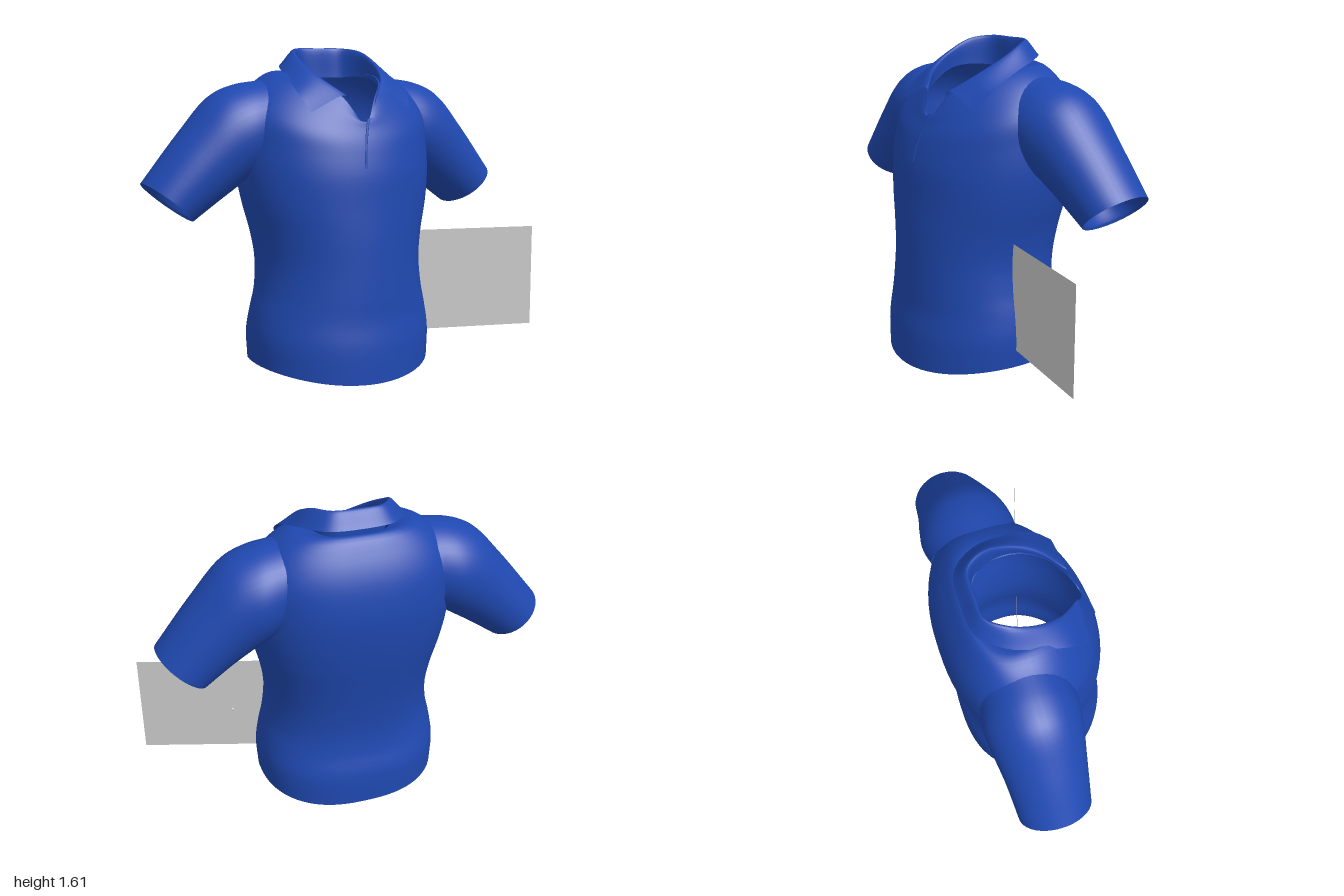
import * as THREE from 'three';

const V = (x, y, z) => new THREE.Vector3(x, y, z);
const CX = -0.025; // the shirt sits slightly off the middle

// Skin a list of cross-sections (arrays of points), smoothed between them.
function loft(sections, steps, closed) {
  const cols = sections[0].length;
  const curves = sections[0].map((_, c) => new THREE.CatmullRomCurve3(sections.map(s => s[c])));
  const pos = [], idx = [];
  for (let r = 0; r <= steps; r++) {
    for (const curve of curves) pos.push(...curve.getPoint(r / steps).toArray());
  }
  const span = closed ? cols : cols - 1;
  for (let r = 0; r < steps; r++) {
    for (let c = 0; c < span; c++) {
      const a = r * cols + c, b = r * cols + (c + 1) % cols;
      idx.push(a, a + cols, b, b, a + cols, b + cols);
    }
  }
  const g = new THREE.BufferGeometry();
  g.setAttribute('position', new THREE.Float32BufferAttribute(pos, 3));
  g.setIndex(idx);
  g.computeVertexNormals();
  return g;
}

// Torso section: heights at side/front/back, half width, front and back z, side z, neck slit depth.
function torsoRing([ys, yf, yb, hw, zf, zb, zc, dip = 0]) {
  return Array.from({ length: 72 }, (_, i) => {
    const a = -i / 72 * Math.PI * 2, c = Math.cos(a), s = Math.sin(a);
    const p = s < 0 ? 2 / 2.5 : 1; // squarer back
    const x = hw * Math.sign(c) * Math.abs(c) ** p;
    const slit = s > 0 ? dip * s ** 20 : 0;
    const y = ys + ((s > 0 ? yf : yb) - ys) * s * s - slit;
    const z = zc + (s > 0 ? (zf - zc) * s : (zb - zc) * Math.abs(s) ** p) + slit * 0.35;
    return V(CX + x, y, z);
  });
}

// Sleeve section: top and bottom points, centre z and half depth.
function sleeveRing([tx, ty, bx, by, zc, hz], side) {
  return Array.from({ length: 40 }, (_, i) => {
    const a = side * i / 40 * Math.PI * 2, k = (1 + Math.cos(a)) / 2;
    return V(CX + side * (bx + (tx - bx) * k), by + (ty - by) * k, zc + hz * Math.sin(a));
  });
}

// Mirror a half path (from back centre to front) into a full path around the neck.
function neckPath(half) {
  const pts = half.map(p => V(...p));
  const all = [...pts.slice(1).reverse().map(p => V(-p.x, p.y, p.z)), ...pts];
  return new THREE.CatmullRomCurve3(all).getPoints(60).map(p => p.add(V(CX + 0.01, 0, 0)));
}

export function createModel() {
  const model = new THREE.Group();
  const cloth = new THREE.MeshStandardMaterial({ color: 0x1f48b0, side: THREE.DoubleSide });
  const grey = new THREE.MeshStandardMaterial({ color: 0xcccccc, side: THREE.DoubleSide });
  const add = (name, geometry, material = cloth) => {
    const mesh = new THREE.Mesh(geometry, material);
    mesh.name = name;
    model.add(mesh);
    return mesh;
  };

  // Torso from hem to neckline
  add('torso', loft([
    [0.06, 0.0, 0.015, 0.465, 0.425, -0.365, 0.03],
    [0.2, 0.17, 0.18, 0.472, 0.42, -0.36, 0.03],
    [0.32, 0.3, 0.3, 0.455, 0.403, -0.33, 0.03],
    [0.42, 0.41, 0.41, 0.432, 0.4, -0.32, 0.03],
    [0.56, 0.56, 0.56, 0.42, 0.395, -0.335, 0.02],
    [0.7, 0.7, 0.7, 0.438, 0.39, -0.36, 0.01],
    [0.85, 0.85, 0.85, 0.475, 0.38, -0.39, 0],
    [1.0, 1.0, 1.0, 0.498, 0.37, -0.412, -0.02],
    [1.15, 1.1, 1.15, 0.5, 0.35, -0.42, -0.04],
    [1.3, 1.17, 1.3, 0.49, 0.33, -0.395, -0.07],
    [1.43, 1.23, 1.42, 0.4, 0.305, -0.34, -0.1],
    [1.495, 1.3, 1.5, 0.29, 0.28, -0.275, -0.1, 0.04],
    [1.475, 1.37, 1.47, 0.2, 0.25, -0.22, -0.03, 0.12],
  ].map(torsoRing), 60, true));

  // Turned-in hem
  add('hem', loft([
    [0.06, 0.0, 0.015, 0.465, 0.425, -0.365, 0.03],
    [0.065, 0.012, 0.025, 0.445, 0.4, -0.34, 0.03],
    [0.2, 0.17, 0.18, 0.45, 0.4, -0.34, 0.03],
  ].map(torsoRing), 6, true));

  // Sleeves with a narrowing lining
  for (const [side, label] of [[1, 'left'], [-1, 'right']]) {
    add(label + 'Sleeve', loft([
      [0.36, 1.455, 0.42, 0.99, -0.11, 0.22],
      [0.5, 1.435, 0.47, 0.965, -0.115, 0.232],
      [0.62, 1.385, 0.53, 0.925, -0.115, 0.222],
      [0.78, 1.215, 0.62, 0.865, -0.115, 0.2],
      [0.975, 0.975, 0.742, 0.78, -0.12, 0.178],
    ].map(r => sleeveRing(r, side)), 24, true));
    add(label + 'Cuff', loft([
      [0.975, 0.975, 0.742, 0.78, -0.12, 0.178],
      [0.945, 0.97, 0.742, 0.8, -0.12, 0.16],
      [0.82, 1.03, 0.69, 0.9, -0.12, 0.09],
    ].map(r => sleeveRing(r, side)), 8, true));
  }

  // Collar: stand, fold and fallen leaf ending in two points
  add('collar', loft([
    [[0, 1.46, -0.205], [0.12, 1.46, -0.195], [0.175, 1.465, -0.12], [0.195, 1.45, 0], [0.16, 1.38, 0.15], [0.06, 1.33, 0.255]],
    [[0, 1.61, -0.22], [0.12, 1.61, -0.21], [0.185, 1.595, -0.12], [0.2, 1.54, 0], [0.17, 1.47, 0.13], [0.085, 1.385, 0.245]],
    [[0, 1.535, -0.285], [0.16, 1.535, -0.265], [0.255, 1.52, -0.15], [0.29, 1.475, 0], [0.3, 1.4, 0.15], [0.275, 1.31, 0.24]],
  ].map(neckPath), 16, false));

  // Edge of the button opening
  const edge = new THREE.CatmullRomCurve3([
    V(-0.01, 1.27, 0.293), V(-0.035, 1.19, 0.322), V(-0.052, 1.11, 0.345), V(-0.06, 1.04, 0.361),
  ]);
  add('placketEdge', new THREE.TubeGeometry(edge, 16, 0.007, 6));

  // Flat grey panel passing through the side of the shirt
  const panel = add('sidePanel', new THREE.PlaneGeometry(1.005, 0.53), grey);
  panel.position.set(0.52, 0.41, 0.147);
  panel.rotation.y = -Math.atan2(0.295, 0.96);

  // Tiny stud behind the panel
  add('stud', new THREE.SphereGeometry(0.008, 10, 8), grey).position.set(0.56, 0.43, 0.075);
  return model;
}
